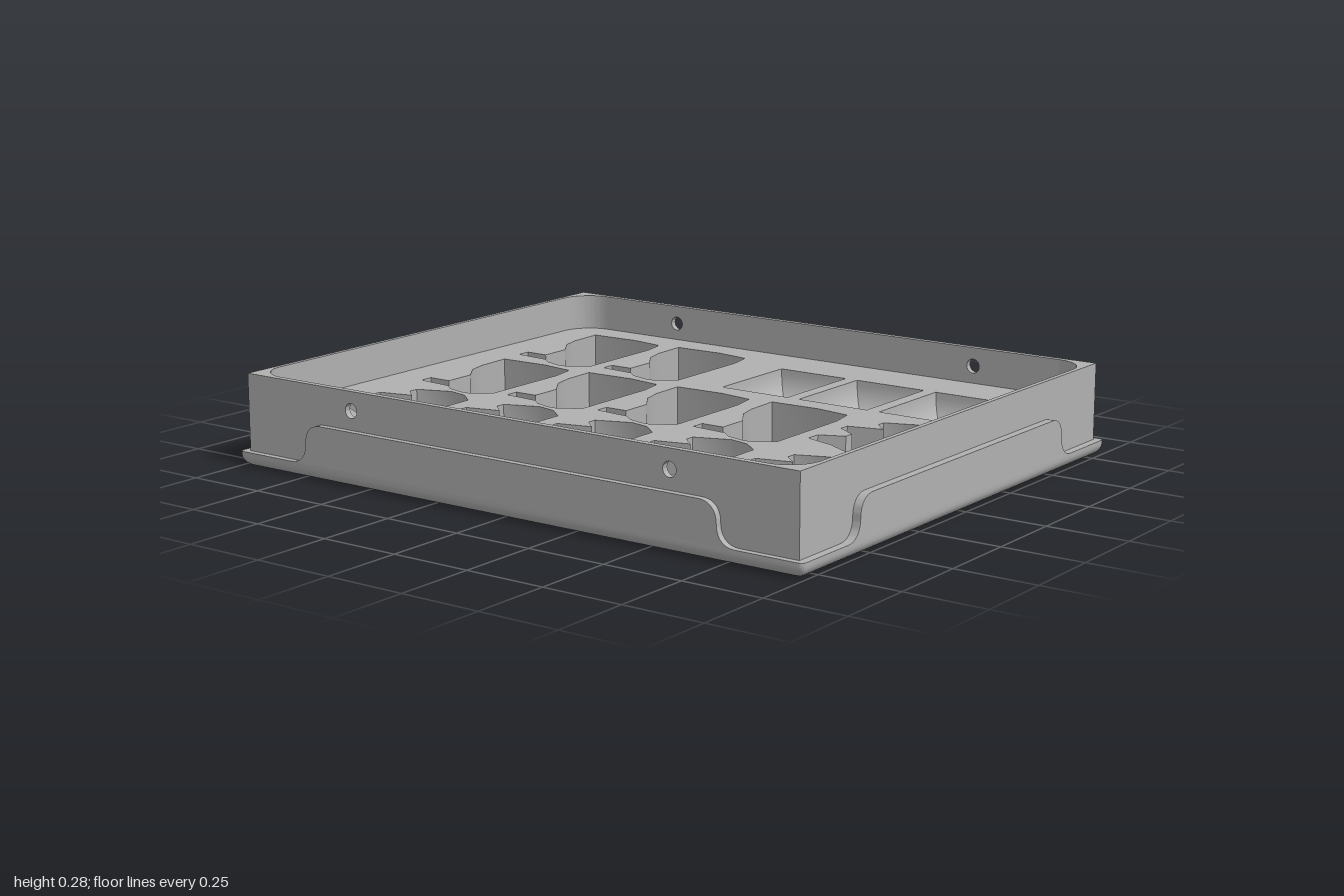
import * as THREE from 'three';
import { toCreasedNormals } from 'three/addons/utils/BufferGeometryUtils.js';

const grey = new THREE.MeshStandardMaterial({ color: 0xb0b0b0 });
grey.name = 'grey plastic';

const LIP = 0.045, FLOOR = 0.168, TOP = 0.28, PANEL = 0.165;

// Pocket outlines: x from the pocket centre, y up from its front edge
const CRESTED = [[-0.23, 0.095], [-0.22, 0.122], [-0.167, 0.122], [-0.12, 0.207], [-0.093, 0.297],
  [-0.045, 0.297], [-0.013, 0.223], [0.02, 0.223], [0.06, 0.286], [0.093, 0.286], [0.12, 0.18],
  [0.16, 0.223], [0.19, 0.223], [0.23, 0.117], [0.215, 0.053], [0.17, 0], [-0.167, 0]];
const NOTCHED = [[-0.222, 0.095], [-0.206, 0.15], [-0.18, 0.18], [-0.17, 0.297], [-0.127, 0.297],
  [-0.127, 0.223], [-0.026, 0.223], [0.042, 0.27], [0.106, 0.286], [0.222, 0.29], [0.228, 0.127],
  [0.21, 0.016], [0.13, 0], [-0.18, 0], [-0.222, 0.064]];
const ROWS = [-0.54, -0.195, 0.15, 0.5, 0.845];
const BOWL = { x: 0.4425, hw: 0.1625, hd: 0.12, zs: [0.093, 0.375, 0.658] };

function rectPoints(hw, hd, r = 0, seg = 4) {
  const pts = [];
  [[1, 1], [-1, 1], [-1, -1], [1, -1]].forEach(([sx, sy], c) => {
    for (let i = 0; i <= (r ? seg : 0); i++) {
      const a = (c + (r ? i / seg : 0)) * Math.PI / 2;
      pts.push(new THREE.Vector2(sx * (hw - r) + r * Math.cos(a), sy * (hd - r) + r * Math.sin(a)));
    }
  });
  return pts;
}

// Joins rectangular rings [halfWidth, halfDepth, y, cornerRadius]
function loft(rings) {
  const pos = [], index = [];
  const loops = rings.map(([w, d, y, r]) => rectPoints(w, d, r).map(p => [p.x, y, -p.y]));
  const n = loops[0].length;
  loops.forEach(l => l.forEach(p => pos.push(...p)));
  for (let j = 0; j < loops.length - 1; j++) {
    for (let i = 0; i < n; i++) {
      const a = j * n + i, b = j * n + (i + 1) % n;
      index.push(a, b, b + n, a, b + n, a + n);
    }
  }
  const g = new THREE.BufferGeometry();
  g.setAttribute('position', new THREE.Float32BufferAttribute(pos, 3));
  g.setIndex(index);
  return toCreasedNormals(g, 0.6);
}

function extrude(shape, depth) {
  const g = new THREE.ExtrudeGeometry(shape, { depth, bevelEnabled: false, curveSegments: 12 });
  return toCreasedNormals(g, 0.6);
}

// Extrudes a plan outline (x, -z) upwards between two heights
const extrudeUp = (shape, y0, y1) => extrude(shape, y1 - y0).rotateX(-Math.PI / 2).translate(0, y0, 0);

// Raised skirt with an S-curve at each end
function skirtShape(mid) {
  const s = new THREE.Shape(), m = (LIP + PANEL) / 2;
  s.moveTo(-mid - 0.06, LIP);
  s.lineTo(mid + 0.06, LIP);
  s.bezierCurveTo(mid + 0.02, LIP, mid, LIP + 0.025, mid, m);
  s.bezierCurveTo(mid, PANEL - 0.025, mid - 0.02, PANEL, mid - 0.06, PANEL);
  s.lineTo(-mid + 0.06, PANEL);
  s.bezierCurveTo(-mid + 0.02, PANEL, -mid, PANEL - 0.025, -mid, m);
  s.bezierCurveTo(-mid, LIP + 0.025, -mid - 0.02, LIP, -mid - 0.06, LIP);
  return s;
}

export function createModel() {
  const group = new THREE.Group();
  group.name = 'storageTray';
  const add = (name, geometry, x = 0, y = 0, z = 0) => {
    const m = new THREE.Mesh(geometry, grey);
    m.name = name;
    m.position.set(x, y, z);
    group.add(m);
    return m;
  };

  // Base plate with a rounded lower edge; its top closes the pockets
  const rings = [[0, 0, 0, 0.0001]], R = 0.035;
  for (let i = 0; i <= 6; i++) {
    const a = i / 6 * Math.PI / 2, inset = R * (1 - Math.sin(a));
    rings.push([0.82 - inset, 1 - inset, R * (1 - Math.cos(a)), 0.015]);
  }
  rings.push([0.82, 1, LIP, 0.015], [0, 0, LIP, 0.0001]);
  add('base', loft(rings));

  // Insert with shaped pockets and openings for the bowls
  const insert = new THREE.Shape(rectPoints(0.78, 0.96, 0.1, 8));
  const pocket = (outline, x, z) => insert.holes.push(
    new THREE.Path(outline.map(([px, py]) => new THREE.Vector2(x + px, py - z))));
  ROWS.forEach((z, i) => {
    pocket(CRESTED, -0.487, z);
    pocket(i < 4 ? NOTCHED : CRESTED, -0.02, z);
    if (i < 2) pocket(NOTCHED, 0.457, z);
  });
  BOWL.zs.forEach(z => insert.holes.push(new THREE.Path(
    rectPoints(BOWL.hw, BOWL.hd).map(p => new THREE.Vector2(p.x + BOWL.x, p.y - z)))));
  add('insert', extrudeUp(insert, LIP, FLOOR));

  // Scooped bowls
  const scoop = [];
  for (let i = 0; i <= 8; i++) {
    const a = i / 8 * Math.PI / 2, inset = 1 - Math.cos(a);
    scoop.push([BOWL.hw - 0.09 * inset, BOWL.hd - 0.08 * inset, FLOOR - 0.1 * Math.sin(a), 0]);
  }
  scoop.push([0, 0, FLOOR - 0.1, 0]);
  const bowlGeometry = loft(scoop);
  BOWL.zs.forEach(z => add('bowl', bowlGeometry, BOWL.x, 0, z));

  // Side walls with round holes
  const side = new THREE.Shape([[-0.86, LIP], [0.86, LIP], [0.86, TOP], [-0.86, TOP]]
    .map(p => new THREE.Vector2(...p)));
  for (const z of [-0.565, 0.565]) {
    side.holes.push(new THREE.Path().absarc(z, 0.222, 0.022, 0, Math.PI * 2, true));
  }
  const sideGeometry = extrude(side, 0.02).rotateY(Math.PI / 2);
  add('leftWall', sideGeometry, 0.78);
  add('rightWall', sideGeometry, -0.8);

  // End walls with rounded inner corners
  const end = new THREE.Shape();
  end.moveTo(-0.8, 0.86);
  end.lineTo(-0.78, 0.86);
  end.absarc(-0.68, 0.86, 0.1, Math.PI, Math.PI / 2, true);
  end.lineTo(0.68, 0.96);
  end.absarc(0.68, 0.86, 0.1, Math.PI / 2, 0, true);
  end.lineTo(0.8, 0.86);
  end.lineTo(0.8, 0.975);
  end.lineTo(-0.8, 0.975);
  const endGeometry = extrudeUp(end, LIP, TOP);
  add('backWall', endGeometry);
  add('frontWall', endGeometry).rotation.y = Math.PI;

  // Raised skirts around the lower walls
  const endSkirt = extrude(skirtShape(0.55), 0.025);
  add('frontSkirt', endSkirt, 0, 0, 0.975);
  add('backSkirt', endSkirt, 0, 0, -1);
  const sideSkirt = extrude(skirtShape(0.73), 0.02).rotateY(Math.PI / 2);
  add('leftSkirt', sideSkirt, 0.8);
  add('rightSkirt', sideSkirt, -0.82);

  return group;
}
